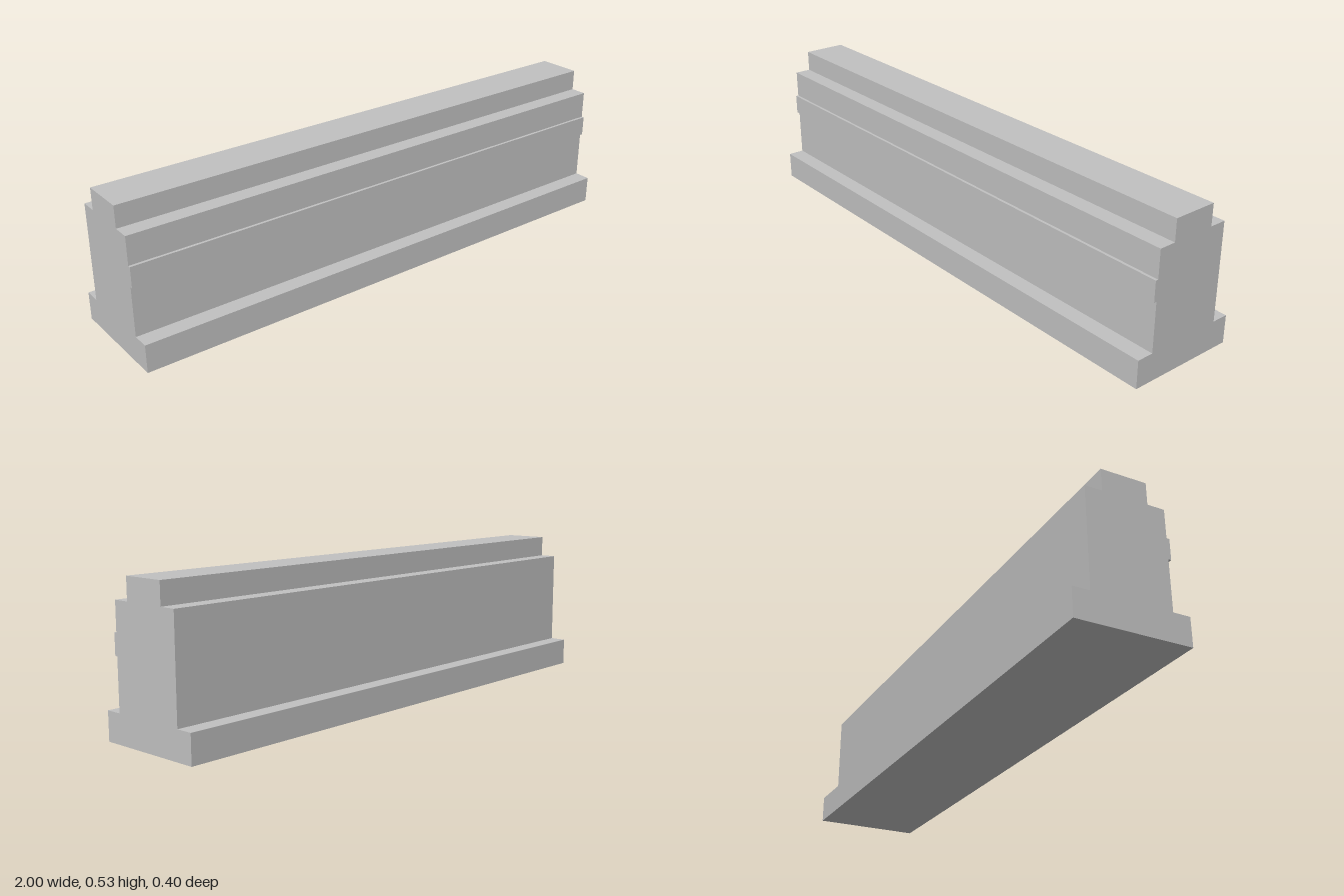
import * as THREE from 'three';

const LENGTH = 2;

export function createModel() {
  const model = new THREE.Group();
  model.name = 'steppedWall';

  const stone = new THREE.MeshStandardMaterial({ color: 0xc0c0c0 });
  stone.name = 'light grey stone';

  // Cross-section as [z, y]: plinth, wall, raised front band, narrow coping
  const profile = [
    [0.2, 0], [0.2, 0.1], [0.14, 0.1],
    [0.14, 0.277], [0.15, 0.277], [0.15, 0.35], [0.14, 0.35],
    [0.14, 0.45], [0.08, 0.45], [0.08, 0.527],
    [-0.08, 0.527], [-0.08, 0.45], [-0.14, 0.45],
    [-0.14, 0.1], [-0.2, 0.1], [-0.2, 0],
  ];
  const section = new THREE.Shape(profile.map(([z, y]) => new THREE.Vector2(-z, y)));

  // Sweep the section along x, centred on the origin
  const geometry = new THREE.ExtrudeGeometry(section, { depth: LENGTH, bevelEnabled: false });
  geometry.translate(0, 0, -LENGTH / 2);
  geometry.rotateY(Math.PI / 2);

  const wall = new THREE.Mesh(geometry, stone);
  wall.name = 'wallSection';
  model.add(wall);
  return model;
}
